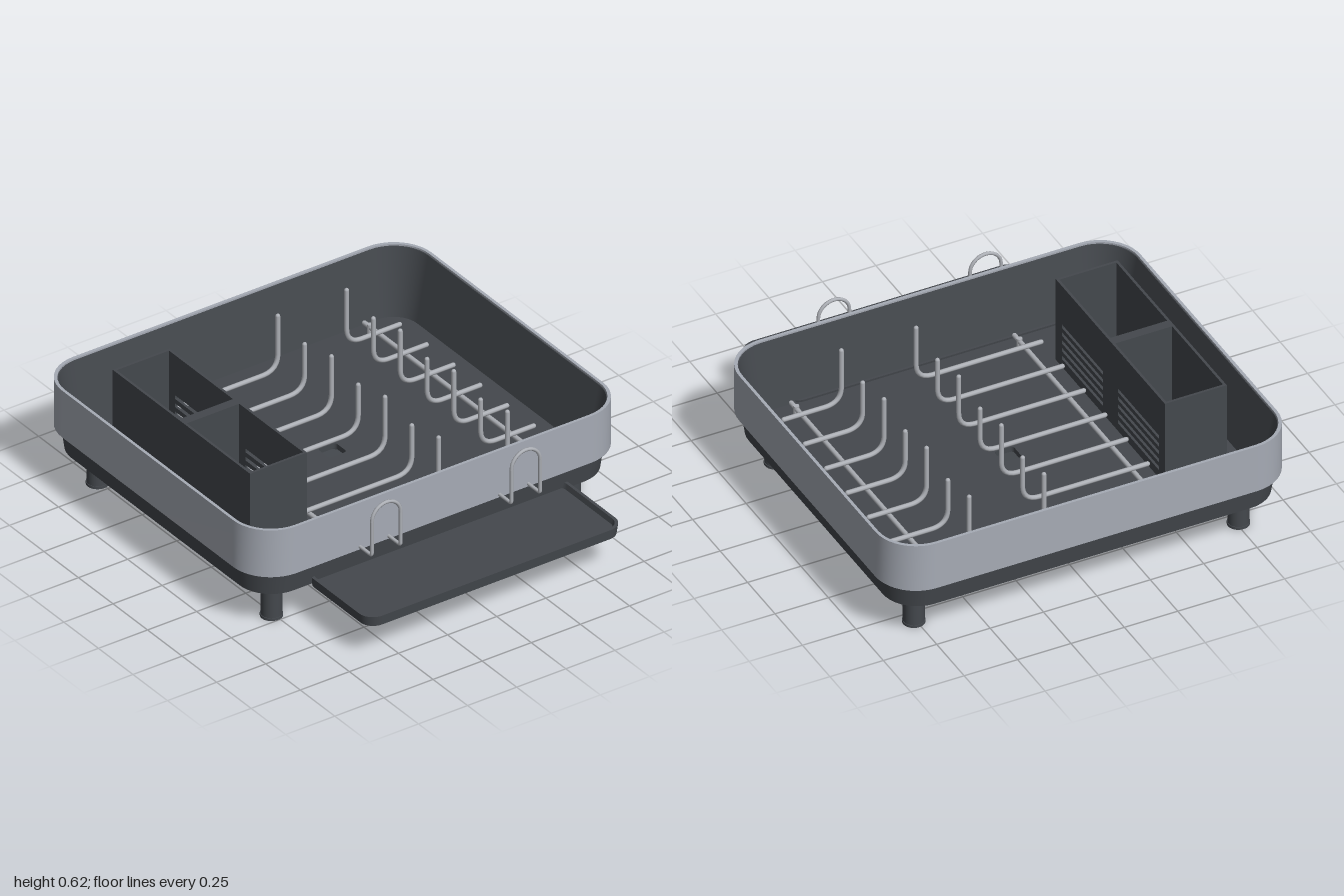
import * as THREE from 'three';

const mat = (name, color, side = THREE.FrontSide) => {
  const m = new THREE.MeshStandardMaterial({ color, side });
  m.name = name;
  return m;
};
const charcoal = mat('charcoal plastic', 0x44484d);
const steel = mat('brushed steel', 0xa6abb5);
const wire = mat('wire steel', 0xaeb1b7, THREE.DoubleSide);

const v = (x, y, z) => new THREE.Vector3(x, y, z);

function add(parent, name, geometry, material, x = 0, y = 0, z = 0) {
  const mesh = new THREE.Mesh(geometry, material);
  mesh.name = name;
  mesh.position.set(x, y, z);
  parent.add(mesh);
  return mesh;
}

// Rounded rectangle outline at height y
function ring([hx, hz, r, y]) {
  const pts = [], n = 10;
  for (let q = 0; q < 4; q++) {
    const sx = q === 0 || q === 3 ? 1 : -1, sz = q < 2 ? 1 : -1;
    for (let i = 0; i <= n; i++) {
      const a = (q + i / n) * Math.PI / 2;
      pts.push([sx * (hx - r) + r * Math.cos(a), y, sz * (hz - r) + r * Math.sin(a)]);
    }
  }
  return pts;
}

// Skin through rounded rectangles, with a sharp edge at every profile step
function loft(profile) {
  const pos = [], index = [];
  for (let j = 0; j + 1 < profile.length; j++) {
    const a = ring(profile[j]), b = ring(profile[j + 1]), n = a.length, o = pos.length / 3;
    [...a, ...b].forEach(p => pos.push(...p));
    for (let i = 0; i < n; i++) {
      const k = (i + 1) % n;
      index.push(o + i, o + n + i, o + k, o + k, o + n + i, o + n + k);
    }
  }
  const g = new THREE.BufferGeometry();
  g.setAttribute('position', new THREE.Float32BufferAttribute(pos, 3));
  g.setIndex(index);
  g.computeVertexNormals();
  return g;
}

// Wire through points, with a rounded bend at each inner point
function bentWire(points, bend, radius) {
  const path = new THREE.CurvePath();
  let from = points[0];
  for (let i = 1; i < points.length - 1; i++) {
    const p = points[i];
    const before = p.clone().add(points[i - 1].clone().sub(p).setLength(bend));
    const after = p.clone().add(points[i + 1].clone().sub(p).setLength(bend));
    path.add(new THREE.LineCurve3(from, before));
    path.add(new THREE.QuadraticBezierCurve3(before, p, after));
    from = after;
  }
  path.add(new THREE.LineCurve3(from, points[points.length - 1]));
  return new THREE.TubeGeometry(path, 40, radius, 8);
}

function addWire(parent, name, points, bend, radius) {
  add(parent, name, bentWire(points, bend, radius), wire);
  for (const p of [points[0], points[points.length - 1]])
    add(parent, name + 'End', new THREE.SphereGeometry(radius, 8, 6), wire, p.x, p.y, p.z);
}

function buildRack() {
  const rack = new THREE.Group();
  rack.name = 'wireRack';
  // Long rails on small feet
  for (const x of [-0.39, 0.655]) {
    addWire(rack, 'rail', [v(x, 0.235, -0.89), v(x, 0.235, 0.51)], 0, 0.011);
    for (const z of [-0.85, 0.465])
      add(rack, 'railFoot', new THREE.CylinderGeometry(0.013, 0.013, 0.06, 10), wire, x, 0.22, z);
  }
  // Plate prongs, alternately tall and short
  for (let i = 0; i < 7; i++) {
    const z = -0.77 + i * 0.194, top = i % 2 ? 0.48 : 0.52;
    addWire(rack, 'plateProng', [v(-0.455, 0.255, z), v(0.13, 0.255, z), v(0.13, top, z)], 0.08, 0.011);
    addWire(rack, 'bowlProng', [v(0.75, 0.255, z), v(0.48, 0.255, z), v(0.48, top, z)], 0.08, 0.011);
  }
  return rack;
}

function buildHolder() {
  const holder = new THREE.Group();
  holder.name = 'utensilHolder';
  const x0 = -0.77, x1 = -0.48, z0 = -0.685, z1 = 0.31, y0 = 0.21, y1 = 0.625, t = 0.012;
  const w = x1 - x0, l = z1 - z0, h = y1 - y0, cx = (x0 + x1) / 2, cz = (z0 + z1) / 2;
  const box = (name, sx, sy, sz, x, y, z) =>
    add(holder, name, new THREE.BoxGeometry(sx, sy, sz), charcoal, x, y, z);
  box('holderFloor', w, t, l, cx, y0 + t / 2, cz);
  box('holderOuterWall', t, h, l, x0 + t / 2, y0 + h / 2, cz);
  for (const z of [z0 + t / 2, z1 - t / 2])
    box('holderEndWall', w - 2 * t, h, t, cx, y0 + h / 2, z);
  box('holderDivider', w - 2 * t, h, 0.045, cx, y0 + h / 2, cz);

  // Slotted wall facing the rack
  const rect = (Type, a, b, c, d) => new Type([
    new THREE.Vector2(a, b), new THREE.Vector2(c, b), new THREE.Vector2(c, d), new THREE.Vector2(a, d)]);
  const wall = rect(THREE.Shape, z0, y0, z1, y1);
  for (const z of [-0.63, -0.12])
    for (let i = 0; i < 5; i++) {
      const y = 0.25 + i * 0.04;
      wall.holes.push(rect(THREE.Path, z, y, z + 0.37, y + 0.018));
    }
  const slotted = new THREE.ExtrudeGeometry(wall, { depth: t, bevelEnabled: false });
  add(holder, 'slottedWall', slotted, charcoal, x1).rotation.y = -Math.PI / 2;
  return holder;
}

export function createModel() {
  const model = new THREE.Group();
  model.name = 'dishRack';
  const cz = -0.19;

  // Basin with sloping walls and a drain hole
  add(model, 'basin', loft([
    [0.045, 0.042, 0.015, 0.18], [0.9, 0.77, 0.16, 0.18], [0.917, 0.787, 0.175, 0.3],
    [0.928, 0.798, 0.18, 0.512], [0.922, 0.792, 0.175, 0.512], [0.86, 0.73, 0.12, 0.205],
    [0.045, 0.042, 0.015, 0.205], [0.045, 0.042, 0.015, 0.18]]), charcoal, 0, 0, cz);
  // Steel band around the basin
  add(model, 'steelBand', loft([
    [0.915, 0.785, 0.175, 0.29], [0.94, 0.81, 0.19, 0.29], [0.94, 0.81, 0.19, 0.52],
    [0.926, 0.796, 0.178, 0.52], [0.926, 0.796, 0.178, 0.505]]), steel, 0, 0, cz);

  // Legs
  for (const x of [-0.76, 0.76])
    for (const z of [-0.81, 0.45]) {
      add(model, 'leg', new THREE.CylinderGeometry(0.046, 0.046, 0.18, 28), charcoal, x, 0.1, z);
      add(model, 'legFoot', new THREE.CylinderGeometry(0.049, 0.049, 0.012, 28), charcoal, x, 0.006, z);
    }

  // Drip tray at the front
  add(model, 'dripTray', loft([
    [0, 0, 0, 0.168], [0.645, 0.23, 0.065, 0.168], [0.652, 0.235, 0.07, 0.215],
    [0.638, 0.221, 0.058, 0.215], [0.632, 0.215, 0.055, 0.19], [0, 0, 0, 0.19]]), charcoal, 0, 0, 0.765);

  // Sloping drain spout and its pivot
  const spout = add(model, 'drainSpout', loft([
    [0, 0, 0, -0.02], [0.113, 0.535, 0.113, -0.02], [0.113, 0.535, 0.113, 0.02],
    [0.098, 0.52, 0.098, 0.02], [0.098, 0.52, 0.098, -0.008], [0, 0, 0, -0.008]]),
  charcoal, 0, 0.131, 0.215);
  spout.rotation.x = 0.038;
  add(model, 'spoutPivot', new THREE.CylinderGeometry(0.063, 0.063, 0.05, 28, 1, true),
    charcoal, 0, 0.158, cz);

  // Arched hooks on the front
  for (const cx of [-0.355, 0.355]) {
    const r = 0.073, y0 = 0.303, z = 0.705, pts = [];
    for (let i = 0; i <= 12; i++) {
      const a = Math.PI * (1 - i / 12);
      pts.push(v(cx + r * Math.cos(a), 0.467 + r * Math.sin(a), z));
    }
    const arch = new THREE.TubeGeometry(new THREE.CatmullRomCurve3(pts), 32, 0.008, 8);
    add(model, 'hookArch', arch, wire);
    for (const s of [-1, 1])
      addWire(model, 'hookLeg', [v(cx + s * r, y0, 0.62), v(cx + s * r, y0, z), v(cx + s * r, 0.467, z)], 0.012, 0.008);
  }

  model.add(buildRack(), buildHolder());
  return model;
}
